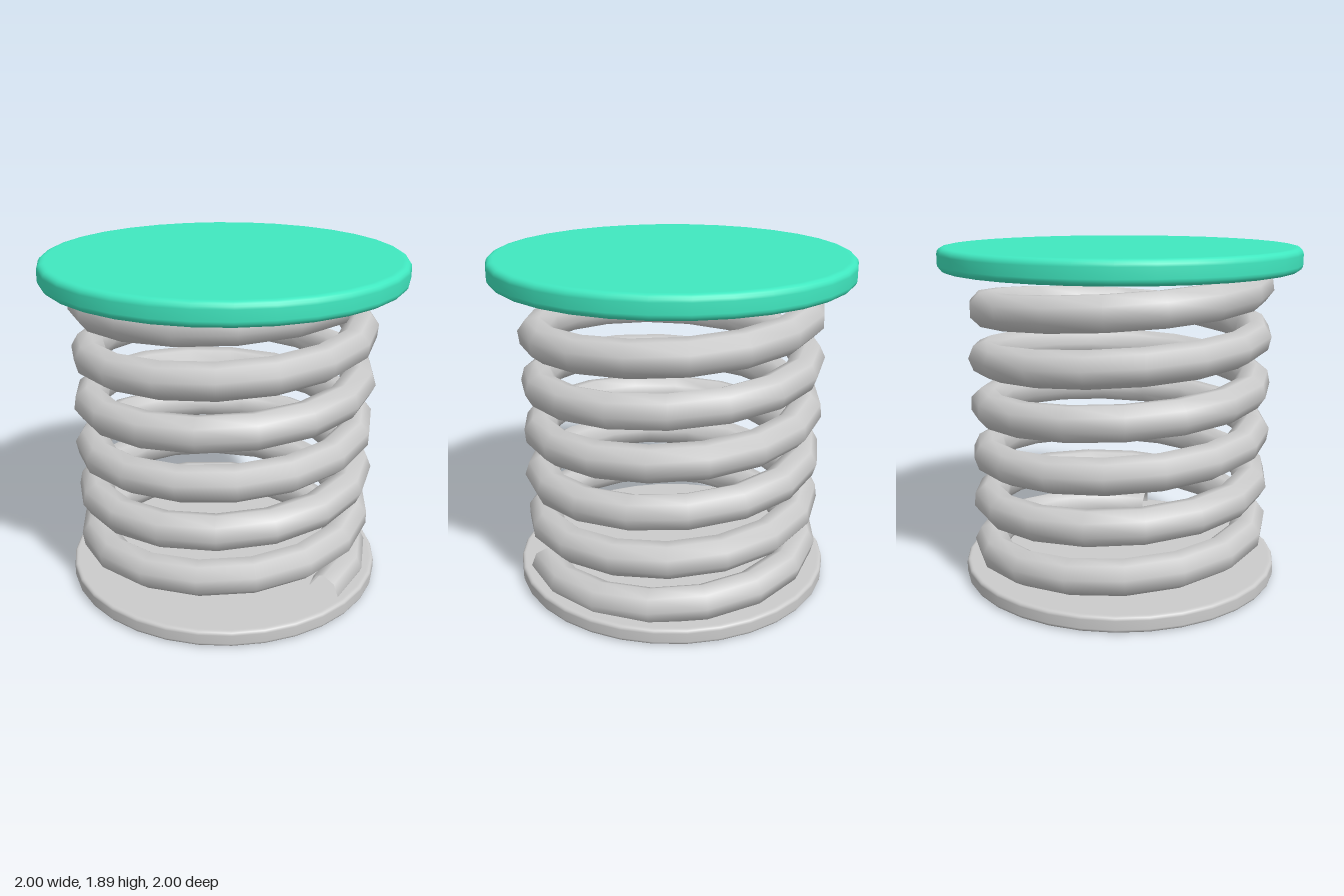
import * as THREE from 'three';

const TURNS = 6;

// Rising coil that starts and ends on the +x side
class Helix extends THREE.Curve {
  constructor(radius, y0, y1, turns) {
    super();
    Object.assign(this, { radius, y0, y1, turns });
  }
  getPoint(t, target = new THREE.Vector3()) {
    const a = t * this.turns * Math.PI * 2;
    return target.set(
      this.radius * Math.cos(a),
      THREE.MathUtils.lerp(this.y0, this.y1, t),
      -this.radius * Math.sin(a)
    );
  }
}

// Solid disc with rounded rims, from y0 to y1
function plate(name, radius, y0, y1, round, color) {
  const points = [new THREE.Vector2(0, y0), new THREE.Vector2(radius - round - 0.01, y0)];
  const addCorner = (cy, start) => {
    for (let i = 0; i <= 4; i++) {
      const a = start + (i / 4) * Math.PI / 2;
      points.push(new THREE.Vector2(radius - round + round * Math.cos(a), cy + round * Math.sin(a)));
    }
  };
  addCorner(y0 + round, -Math.PI / 2);
  addCorner(y1 - round, 0);
  points.push(new THREE.Vector2(radius - round - 0.01, y1), new THREE.Vector2(0, y1));
  const mesh = new THREE.Mesh(
    new THREE.LatheGeometry(points, 32),
    new THREE.MeshStandardMaterial({ color })
  );
  mesh.name = name;
  return mesh;
}

export function createModel() {
  const group = new THREE.Group();
  group.name = 'springPad';

  group.add(plate('basePlate', 0.905, 0, 0.09, 0.02, 0xcccccc));
  group.add(plate('topPlate', 1, 1.762, 1.887, 0.035, 0x40e8c0));

  // Open-ended coil spring
  const coil = new THREE.Mesh(
    new THREE.TubeGeometry(new Helix(0.757, 0.096, 1.742, TURNS), 100, 0.098, 8, false),
    new THREE.MeshStandardMaterial({ color: 0xcccccc, side: THREE.DoubleSide })
  );
  coil.name = 'coilSpring';
  group.add(coil);

  return group;
}
